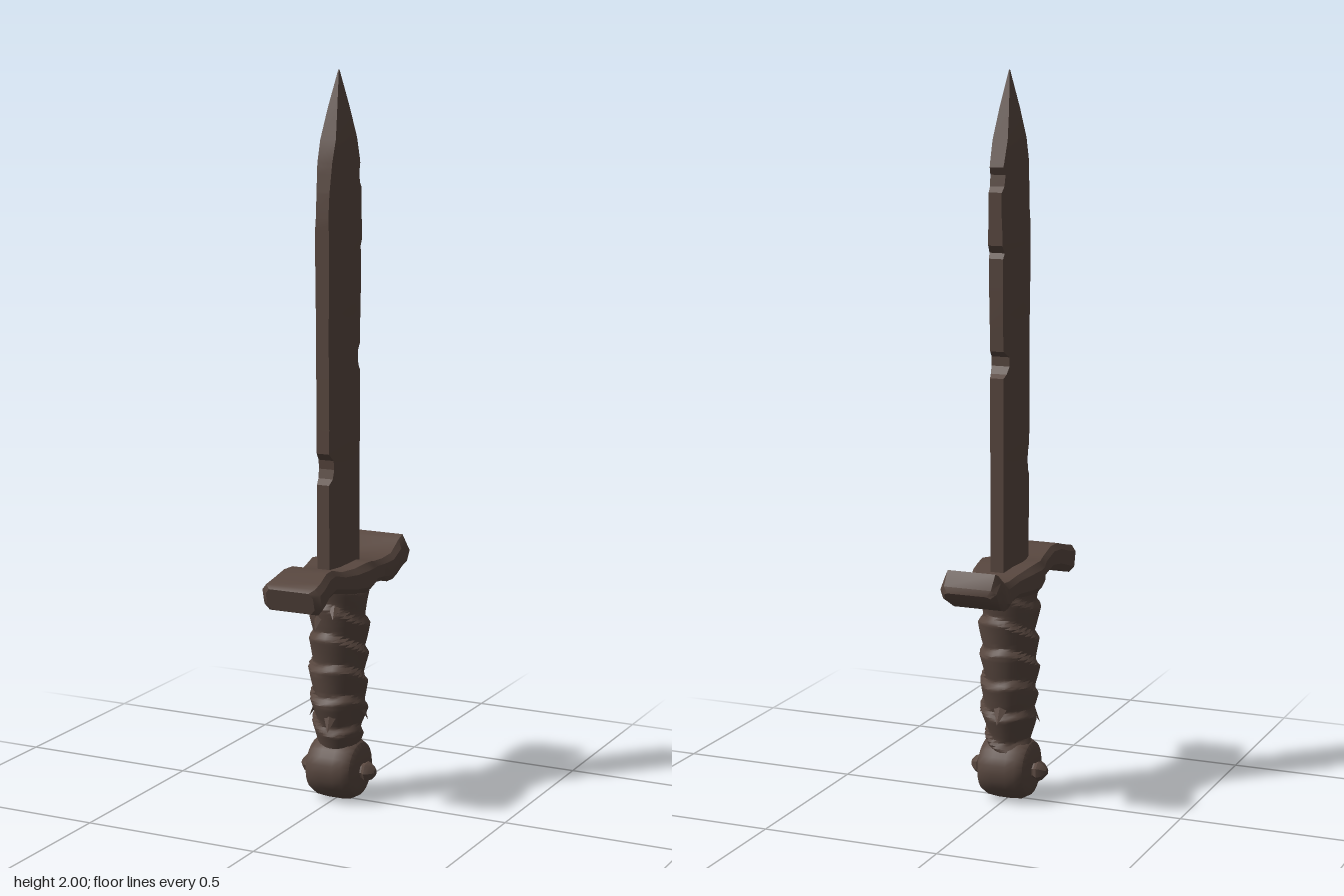
import * as THREE from 'three';
import { toCreasedNormals } from 'three/addons/utils/BufferGeometryUtils.js';

// Skin a row of equal-length rings of [x, y, z] points and close both ends
function loft(rings, crease = 0.6) {
  const n = rings[0].length, pos = rings.flat(2), index = [];
  for (let i = 0; i < rings.length - 1; i++) {
    for (let j = 0; j < n; j++) {
      const a = i * n + j, b = i * n + (j + 1) % n;
      index.push(a, b, b + n, a, b + n, a + n);
    }
  }
  const last = (rings.length - 1) * n;
  for (let j = 1; j < n - 1; j++) {
    index.push(0, j + 1, j, last, last + j, last + j + 1);
  }
  const g = new THREE.BufferGeometry();
  g.setAttribute('position', new THREE.Float32BufferAttribute(pos, 3));
  g.setIndex(index);
  return toCreasedNormals(g, crease);
}

// Linear lookup in a list of [key, value] pairs with rising keys
function lookup(table, k) {
  for (let i = 1; i < table.length; i++) {
    const [k0, v0] = table[i - 1], [k1, v1] = table[i];
    if (k <= k1) return v0 + (v1 - v0) * (k - k0) / (k1 - k0);
  }
  return table[table.length - 1][1];
}

export function createModel() {
  const group = new THREE.Group();
  const iron = new THREE.MeshStandardMaterial({ color: 0x58473f });
  iron.name = 'weathered brown';
  const add = (name, geometry, parent = group) => {
    const mesh = new THREE.Mesh(geometry, iron);
    mesh.name = name;
    parent.add(mesh);
    return mesh;
  };

  // Blade: blunt-edged hexagonal section, with chips in both edges
  const frontEdge = [[0.62, 0.093], [0.9, 0.096], [0.915, 0.08], [0.94, 0.074], [0.965, 0.077],
    [0.985, 0.096], [1.3, 0.098], [1.6, 0.1], [1.68, 0.094], [1.76, 0.083], [1.9, 0.038], [2, 0.002]];
  const backEdge = [[0.62, 0.088], [1.19, 0.09], [1.2, 0.076], [1.22, 0.063], [1.245, 0.063],
    [1.262, 0.088], [1.36, 0.093], [1.51, 0.094], [1.525, 0.086], [1.545, 0.099], [1.685, 0.099],
    [1.7, 0.085], [1.73, 0.08], [1.75, 0.09], [1.9, 0.037], [2, 0.002]];
  const ridge = [[0.62, 0.04], [0.95, 0.04], [1.05, 0.043], [1.3, 0.041], [1.45, 0.045],
    [1.58, 0.045], [1.62, 0.041], [1.82, 0.042], [1.9, 0.026], [2, 0.001]];
  const heights = [...new Set([...frontEdge, ...backEdge, ...ridge].map(p => p[0]))].sort((a, b) => a - b);
  add('blade', loft(heights.map(y => {
    const f = lookup(frontEdge, y), b = lookup(backEdge, y), t = lookup(ridge, y);
    const taper = Math.min(1, (2.02 - y) / 0.25);
    const ef = t * (1 - 0.55 * Math.min(1, f / (0.096 * taper)));
    const eb = t * (1 - 0.55 * Math.min(1, b / (0.092 * taper)));
    return [[-ef, y, f], [ef, y, f], [t, y, 0], [eb, y, -b], [-eb, y, -b], [-t, y, 0]];
  }), 0.3));

  // Guard: wavy bar, each row is z at top, top y, z at bottom, bottom y, half width
  const guard = [
    [-0.297, 0.645, -0.283, 0.622, 0.066], [-0.293, 0.662, -0.262, 0.612, 0.08],
    [-0.264, 0.7, -0.225, 0.592, 0.081], [-0.24, 0.69, -0.2, 0.585, 0.08],
    [-0.195, 0.66, -0.17, 0.584, 0.077], [-0.15, 0.654, -0.14, 0.592, 0.071],
    [-0.1, 0.657, -0.1, 0.596, 0.071], [-0.05, 0.668, -0.05, 0.592, 0.087],
    [0, 0.674, 0, 0.59, 0.096], [0.05, 0.668, 0.05, 0.597, 0.085],
    [0.1, 0.668, 0.09, 0.606, 0.07], [0.16, 0.685, 0.15, 0.619, 0.07],
    [0.2, 0.685, 0.2, 0.611, 0.075], [0.25, 0.67, 0.24, 0.597, 0.083],
    [0.286, 0.662, 0.266, 0.588, 0.086], [0.297, 0.652, 0.28, 0.593, 0.07],
  ];
  const corner = [[1, 0.25], [1, 0.78], [0.84, 1], [-0.84, 1], [-1, 0.78], [-1, 0.22], [-0.84, 0], [0.84, 0], [1, 0.22]];
  add('guard', loft(guard.map(([zt, yt, zb, yb, w]) => corner.slice(1).map(([u, v]) =>
    [u * w, yb + (yt - yb) * v, zb + (zt - zb) * v])), 0.6));

  // Grip: slanted overlapping turns of wrapping
  const gripRadius = [[0.14, 0.056], [0.2, 0.063], [0.27, 0.072], [0.42, 0.074], [0.5, 0.076], [0.61, 0.076]];
  const rings = [];
  for (let i = 0; i <= 64; i++) {
    const y = 0.14 + 0.47 * i / 64, ring = [];
    for (let j = 0; j < 28; j++) {
      const a = j / 28 * Math.PI * 2;
      const turn = (y - 0.14) / 0.083 + j / 28 + 0.16 * Math.sin(2 * a + y * 9);
      const f = turn - Math.floor(turn);
      const lip = f < 0.8 ? f / 0.8 : (1 - f) / 0.2;
      const r = lookup(gripRadius, y) - 0.004 + 0.014 * lip + 0.002 * Math.sin(3 * a + y * 31);
      ring.push([Math.sin(a) * r, y, Math.cos(a) * r]);
    }
    rings.push(ring);
  }
  add('grip', loft(rings, 0.7));

  // Loose wrap ends: [angle round the grip, height, radius, lean]
  const ends = [[0.1, 0.235, 0.076, 0.5], [-0.35, 0.52, 0.08, 0.35], [Math.PI, 0.255, 0.076, 0.6],
    [-1.5, 0.25, 0.074, 0.5], [1.6, 0.26, 0.074, 0.5], [0.3, 0.55, 0.08, 0.9]];
  const wraps = new THREE.Group();
  wraps.name = 'looseWrapEnds';
  group.add(wraps);
  for (const [angle, y, r, lean] of ends) {
    const g = new THREE.ConeGeometry(0.024, 0.06, 4).rotateX(Math.PI).scale(1, 1, 0.4);
    g.rotateX(-lean).translate(0, y, r).rotateY(angle);
    add('wrapEnd', toCreasedNormals(g, 0.3), wraps);
  }

  // Pommel: thick bevelled disc lying across the grip
  const profile = [[0, -0.073], [0.056, -0.073], [0.074, -0.066], [0.085, -0.046], [0.088, -0.02],
    [0.088, 0.02], [0.085, 0.046], [0.074, 0.066], [0.056, 0.073], [0, 0.073]];
  const disc = new THREE.LatheGeometry(profile.map(p => new THREE.Vector2(...p)), 24);
  add('pommel', toCreasedNormals(disc.rotateZ(-Math.PI / 2), 0.7)).position.y = 0.089;

  // Pommel rivets: faceted pointed studs
  for (const s of [1, -1]) {
    const stud = [[0.02, 0.06], [0.022, 0.078], [0.029, 0.088], [0.023, 0.1], [0.009, 0.112], [0, 0.112]];
    const g = new THREE.LatheGeometry(stud.map(p => new THREE.Vector2(...p)), 7);
    g.rotateZ(-s * Math.PI / 2);
    add(s > 0 ? 'leftRivet' : 'rightRivet', toCreasedNormals(g, 0.4)).position.y = 0.085;
  }
  return group;
}
